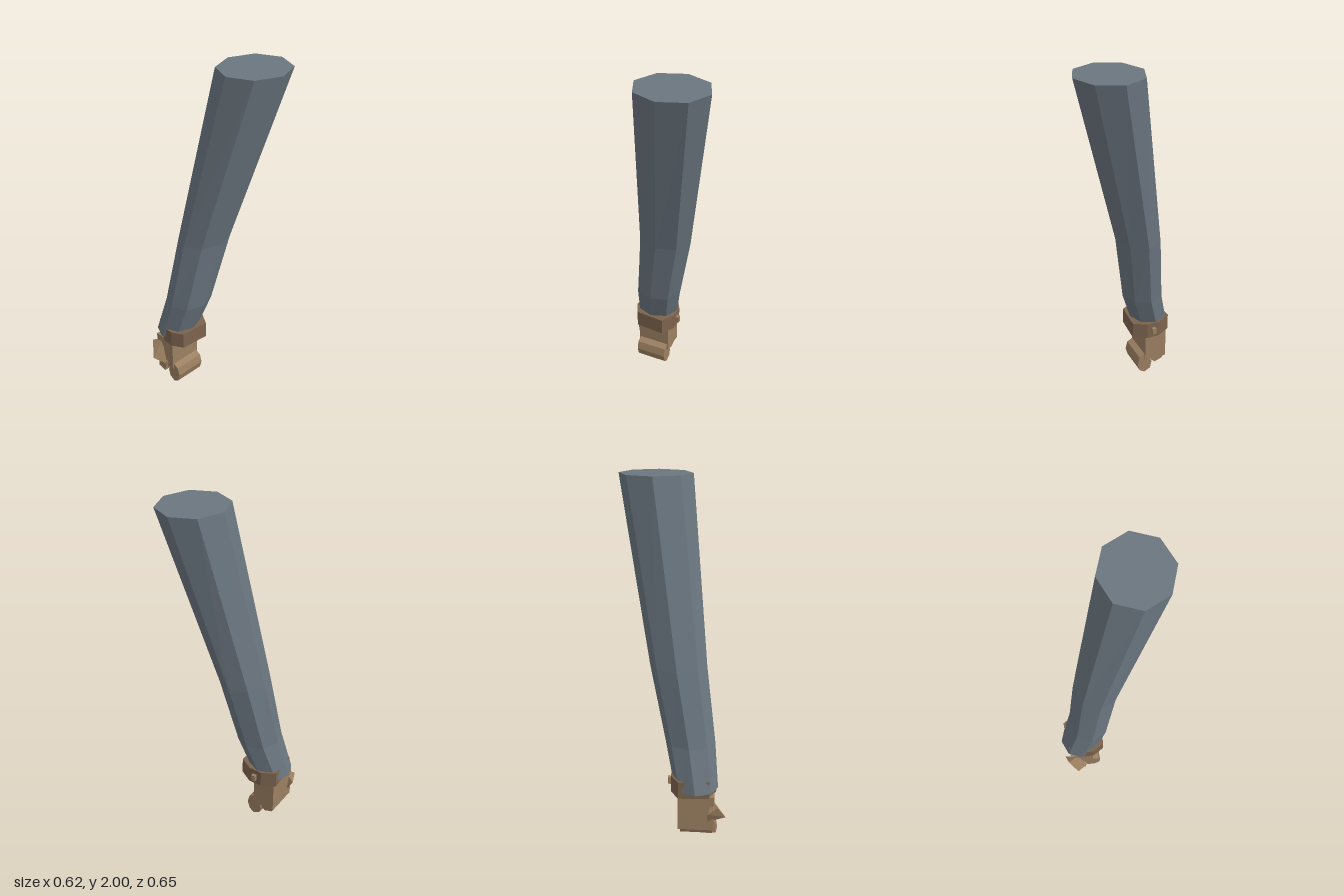
import * as THREE from 'three';
import { ConvexGeometry } from 'three/addons/geometries/ConvexGeometry.js';

const material = (name, color) => {
  const m = new THREE.MeshStandardMaterial({ color, flatShading: true });
  m.name = name;
  return m;
};

// Closed solid through rings of [x, y, z] points, listed bottom to top, clockwise from above
function loft(rings) {
  const pos = [];
  const n = rings[0].length;
  const tri = (a, b, c) => pos.push(...a, ...b, ...c);
  const centre = r => [0, 1, 2].map(k => r.reduce((s, p) => s + p[k], 0) / n);
  const low = rings[0], high = rings[rings.length - 1];
  for (let i = 0; i < n; i++) {
    const j = (i + 1) % n;
    for (let r = 0; r < rings.length - 1; r++) {
      const a = rings[r], b = rings[r + 1];
      tri(a[j], a[i], b[i]);
      tri(a[j], b[i], b[j]);
    }
    tri(centre(low), low[i], low[j]);
    tri(centre(high), high[j], high[i]);
  }
  const g = new THREE.BufferGeometry();
  g.setAttribute('position', new THREE.Float32BufferAttribute(pos, 3));
  g.computeVertexNormals();
  return g;
}

// Side profile of [z, y] points, extruded from x0 to x1
function sideExtrude(points, x0, x1) {
  const shape = new THREE.Shape(points.map(p => new THREE.Vector2(...p)));
  const g = new THREE.ExtrudeGeometry(shape, { depth: x1 - x0, bevelEnabled: false });
  return g.rotateY(-Math.PI / 2).translate(x1, 0, 0);
}

function box(x0, x1, y0, y1, z0, z1) {
  return new THREE.BoxGeometry(x1 - x0, y1 - y0, z1 - z0)
    .translate((x0 + x1) / 2, (y0 + y1) / 2, (z0 + z1) / 2);
}

export function createModel() {
  const group = new THREE.Group();
  const cloth = material('greyCloth', 0x6b7680);
  const leather = material('darkLeather', 0x7c644e);
  const tan = material('tanGlove', 0x9c8062);
  const add = (name, geometry, mat) => {
    const mesh = new THREE.Mesh(geometry, mat);
    mesh.name = name;
    group.add(mesh);
  };

  // Sleeve: eight-sided rings as [y, centre x, centre z, radius x, radius z]
  const sleeve = [
    [0.335, -0.14, -0.215, 0.122, 0.112],
    [0.58, -0.102, -0.143, 0.138, 0.122],
    [1.0, -0.031, -0.08, 0.156, 0.13],
    [2.0, 0.108, 0.14, 0.2, 0.185],
  ].map(([y, cx, cz, rx, rz]) => Array.from({ length: 8 }, (_, i) => {
    const a = i * Math.PI / 4;
    return [cx + rx * Math.cos(a), y, cz + rz * Math.sin(a)];
  }));
  add('sleeve', loft(sleeve), cloth);

  // Wrist strap with chamfered corners and a small buckle
  const outline = [[0, -0.14], [-0.045, -0.062], [-0.215, -0.075], [-0.252, -0.14],
    [-0.252, -0.2], [-0.215, -0.285], [-0.045, -0.298], [0, -0.22]];
  add('wristStrap', loft([0.3, 0.4].map(y => outline.map(([x, z]) => [x, y, z]))), leather);
  add('buckle', box(-0.01, 0.02, 0.33, 0.37, -0.19, -0.165), tan);

  // Gloved hand
  add('palm', box(-0.242, -0.042, 0.1, 0.305, -0.285, -0.147), tan);
  add('fingers', sideExtrude([[-0.147, 0.142], [-0.112, 0.125], [-0.1, 0.075], [-0.115, 0.025],
    [-0.147, 0.005], [-0.185, 0.025], [-0.195, 0.07], [-0.18, 0.12]], -0.235, -0.05), tan);
  add('fingertips', sideExtrude([[-0.19, 0.11], [-0.2, 0.075], [-0.22, 0.058], [-0.27, 0.075],
    [-0.283, 0.11]], -0.235, -0.055), tan);

  // Thumb, folded in two segments
  const hull = pts => new ConvexGeometry(pts.map(p => new THREE.Vector3(...p)));
  add('thumbBase', hull([[-0.308, 0.168, -0.252], [-0.262, 0.135, -0.188], [-0.262, 0.255, -0.302],
    [-0.21, 0.22, -0.32], [-0.235, 0.27, -0.245], [-0.2, 0.13, -0.24], [-0.21, 0.155, -0.285]]), tan);
  add('thumbTip', hull([[-0.25, 0.14, -0.19], [-0.262, 0.075, -0.2], [-0.25, 0.14, -0.26],
    [-0.255, 0.075, -0.265], [-0.2, 0.07, -0.2], [-0.2, 0.07, -0.27], [-0.2, 0.14, -0.23]]), tan);
  return group;
}
